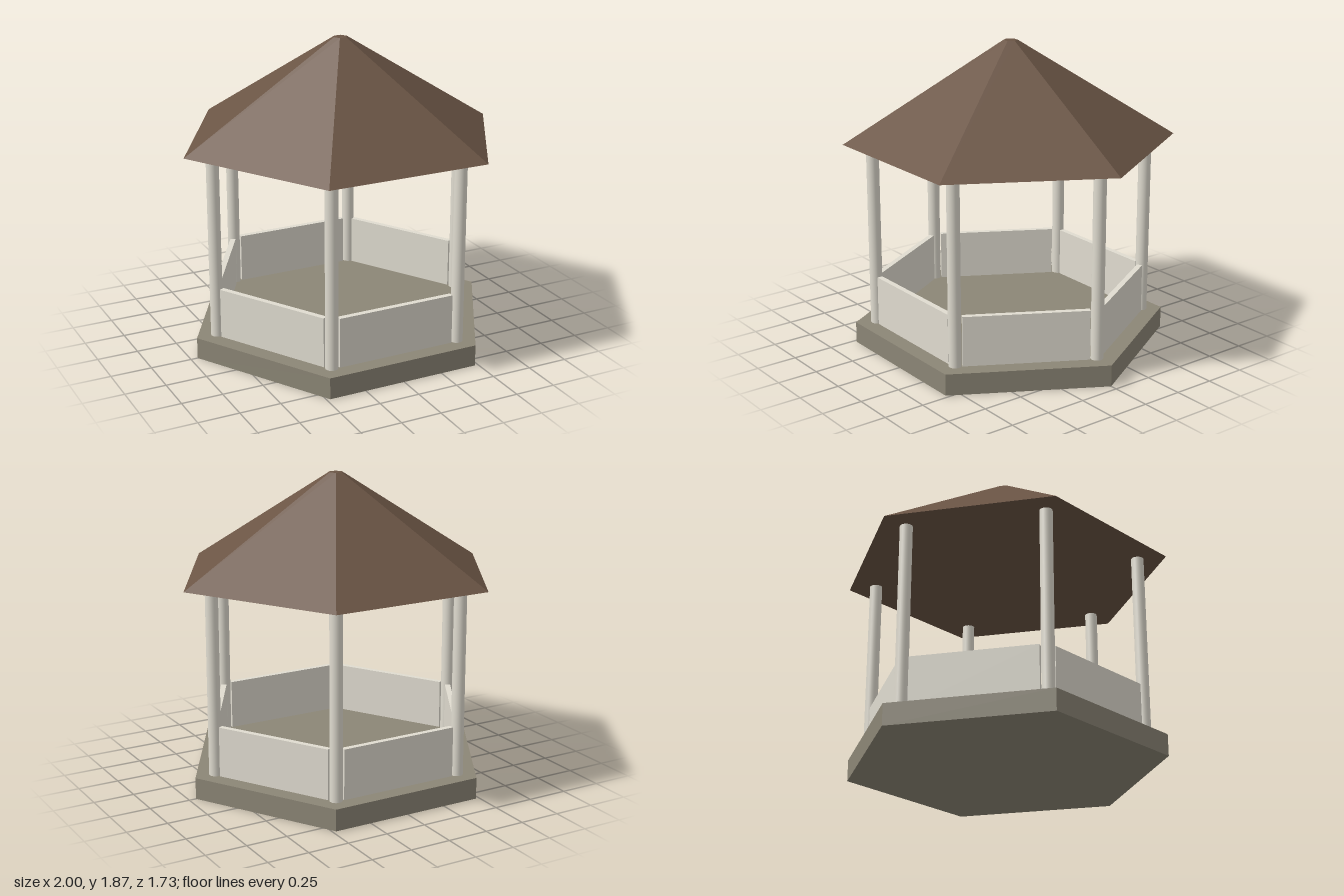
import * as THREE from 'three';

const BASE_TOP = 0.131, EAVE = 1.267, PEAK = 1.872, RAIL_TOP = 0.436;
const POST_RING = 0.826; // distance of the posts from the centre

// Six-sided prism or frustum with corners on the x axis
function hexagon(name, topRadius, bottomRadius, y0, y1, material) {
  const geometry = new THREE.CylinderGeometry(topRadius, bottomRadius, y1 - y0, 6, 1, false, Math.PI / 2);
  const mesh = new THREE.Mesh(geometry, material);
  mesh.name = name;
  mesh.position.y = (y0 + y1) / 2;
  return mesh;
}

export function createModel() {
  const gazebo = new THREE.Group();
  gazebo.name = 'gazebo';

  const stone = new THREE.MeshStandardMaterial({ color: 0x8c8676, flatShading: true });
  const paint = new THREE.MeshStandardMaterial({ color: 0xe0dcd0 });
  const shingle = new THREE.MeshStandardMaterial({ color: 0x6b5545, flatShading: true });

  // Floor platform and roof
  gazebo.add(hexagon('platform', 0.957, 0.957, 0, BASE_TOP, stone));
  gazebo.add(hexagon('roof', 0.042, 1, EAVE, PEAK, shingle));

  // A post at each corner and a railing panel along each side
  const postGeometry = new THREE.CylinderGeometry(0.038, 0.038, EAVE - BASE_TOP, 24);
  const railGeometry = new THREE.BoxGeometry(0.74, RAIL_TOP - BASE_TOP, 0.034);
  const railRing = POST_RING * Math.cos(Math.PI / 6);
  for (let i = 0; i < 6; i++) {
    const corner = i * Math.PI / 3;
    const post = new THREE.Mesh(postGeometry, paint);
    post.name = `post${i + 1}`;
    post.position.set(POST_RING * Math.cos(corner), (BASE_TOP + EAVE) / 2, POST_RING * Math.sin(corner));

    const side = corner + Math.PI / 6;
    const rail = new THREE.Mesh(railGeometry, paint);
    rail.name = `railing${i + 1}`;
    rail.position.set(railRing * Math.cos(side), (BASE_TOP + RAIL_TOP) / 2, railRing * Math.sin(side));
    rail.rotation.y = Math.PI / 2 - side;

    gazebo.add(post, rail);
  }
  return gazebo;
}
